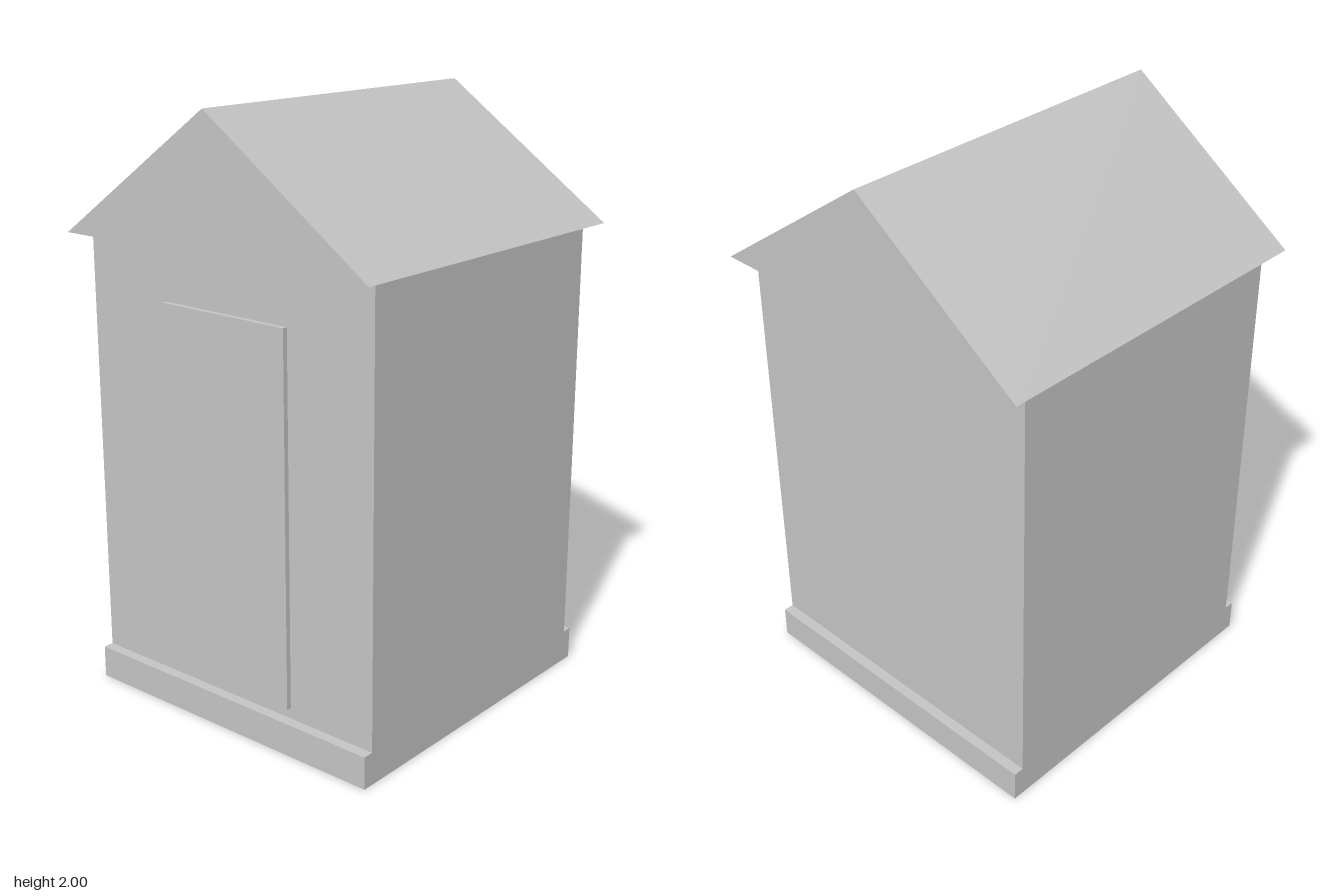
import * as THREE from 'three';

export function createModel() {
  const model = new THREE.Group();
  const grey = new THREE.MeshStandardMaterial({ color: 0xc4c4c4 });
  grey.name = 'plain grey';

  function add(name, geometry, x, y, z) {
    const mesh = new THREE.Mesh(geometry, grey);
    mesh.name = name;
    mesh.position.set(x, y, z);
    model.add(mesh);
  }

  // Box standing on a given height
  function addBox(name, width, height, depth, bottom, z = 0) {
    add(name, new THREE.BoxGeometry(width, height, depth), 0, bottom + height / 2, z);
  }

  const baseTop = 0.11, eaves = 1.567, ridge = 2;

  // Plinth, flush with the side walls, stepping out at front and back
  addBox('base', 1.16, baseTop, 1.16, 0);
  addBox('walls', 1.16, eaves - baseTop, 1.088, baseTop);
  // Raised door panel on the front wall
  addBox('door', 0.504, 1.235, 0.017, 0.147, 0.5525);

  // Solid gable roof with a small overhang
  const halfSpan = 0.616, roofDepth = 1.234;
  const gable = new THREE.Shape([
    new THREE.Vector2(-halfSpan, 0),
    new THREE.Vector2(halfSpan, 0),
    new THREE.Vector2(0, ridge - eaves),
  ]);
  const roof = new THREE.ExtrudeGeometry(gable, { depth: roofDepth, bevelEnabled: false });
  add('roof', roof, 0, eaves, -roofDepth / 2);

  return model;
}
